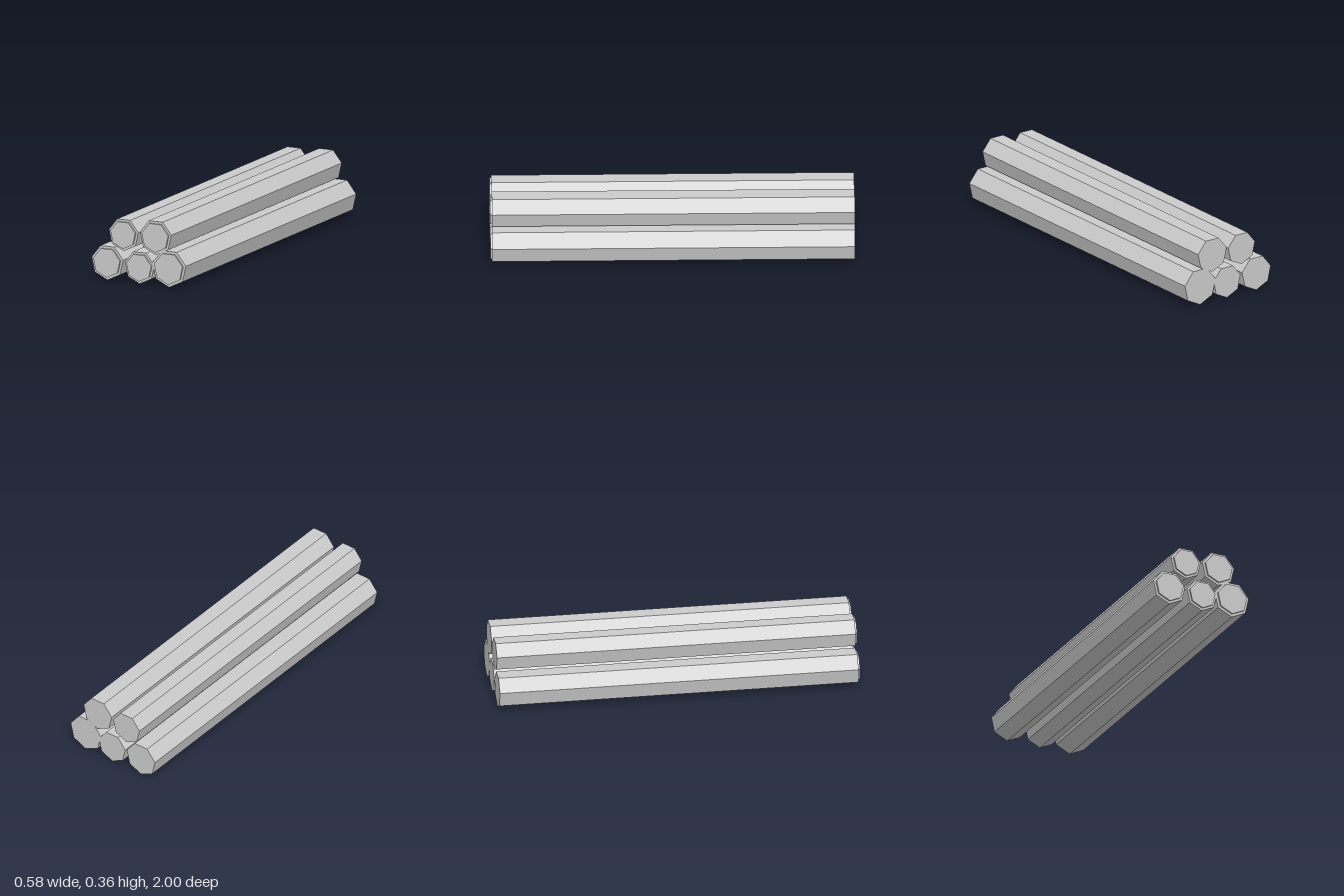
import * as THREE from 'three';

const SIDES = 7;
const CAP = 0.01; // how far the raised end face stands out

// Seven-sided prism along z, one corner pointing down
function prism(radius, z0, z1) {
  const geo = new THREE.CylinderGeometry(radius, radius, z1 - z0, SIDES);
  geo.rotateX(Math.PI / 2);
  geo.translate(0, 0, (z0 + z1) / 2);
  return geo;
}

export function createModel() {
  const model = new THREE.Group();
  model.name = 'logPile';
  const grey = new THREE.MeshStandardMaterial({ color: 0xcccccc, flatShading: true });
  grey.name = 'lightGrey';

  // centre x, centre y, radius
  const logs = [
    ['bottomRightLog', -0.196, 0.0998, 0.0998],
    ['bottomMiddleLog', 0.004, 0.0934, 0.0934],
    ['bottomLeftLog', 0.187, 0.1065, 0.1065],
    ['topRightLog', -0.095, 0.267, 0.093],
    ['topLeftLog', 0.104, 0.273, 0.0993],
  ];

  for (const [name, x, y, radius] of logs) {
    const log = new THREE.Group();
    log.name = name;
    log.position.set(x, y, 0);

    const trunk = new THREE.Mesh(prism(radius, -1, 1 - CAP), grey);
    trunk.name = 'trunk';

    // Raised cut face on the front end
    const cutFace = new THREE.Mesh(prism(radius * 0.85, 1 - CAP, 1), grey);
    cutFace.name = 'cutFace';

    log.add(trunk, cutFace);
    model.add(log);
  }
  return model;
}
